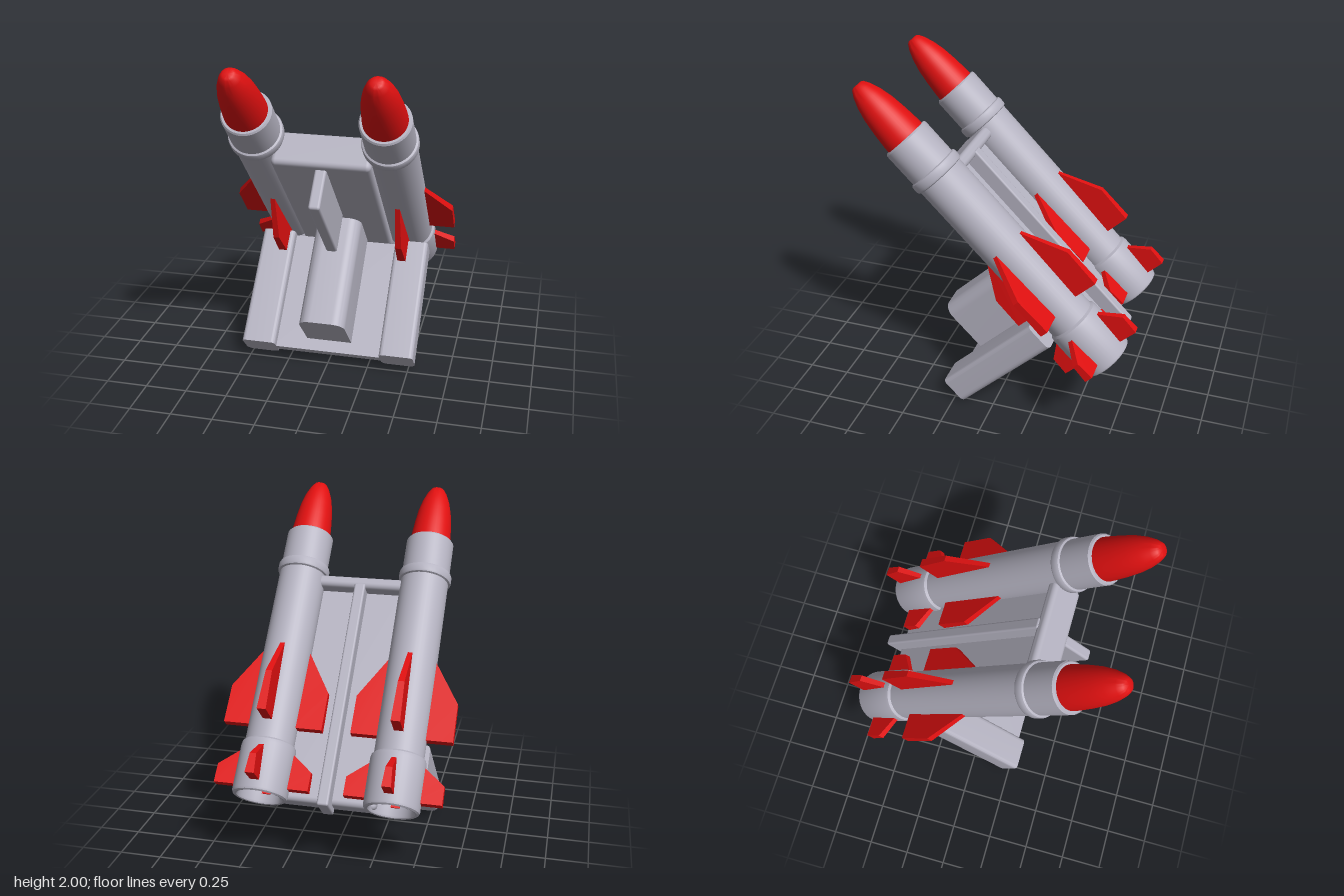
import * as THREE from 'three';
import { toCreasedNormals } from 'three/addons/utils/BufferGeometryUtils.js';
import { RoundedBoxGeometry } from 'three/addons/geometries/RoundedBoxGeometry.js';

const TILT = 0.771;      // lean of the whole launcher towards the front
const AXIS = -0.797;     // local z of the missile axes (local y runs along the missiles)
const SPACING = 0.387;   // missile distance from the centre line

function mesh(name, geometry, material) {
  const m = new THREE.Mesh(geometry, material);
  m.name = name;
  return m;
}

// Box given by its limits, with softened edges
function softBox(name, x, y0, y1, z0, z1, radius, material) {
  const m = mesh(name, new RoundedBoxGeometry(2 * x, y1 - y0, z1 - z0, 3, radius), material);
  m.position.set(0, (y0 + y1) / 2, (z0 + z1) / 2);
  return m;
}

// Bar with a rounded cross-section (top radius rt, bottom radius rb) running along z
function bar(name, x0, x1, y0, y1, z0, z1, rt, rb, material) {
  const s = new THREE.Shape();
  s.moveTo(x0 + rb, y0);
  s.lineTo(x1 - rb, y0);
  if (rb) s.absarc(x1 - rb, y0 + rb, rb, -Math.PI / 2, 0, false);
  s.lineTo(x1, y1 - rt);
  s.absarc(x1 - rt, y1 - rt, rt, 0, Math.PI / 2, false);
  s.lineTo(x0 + rt, y1);
  s.absarc(x0 + rt, y1 - rt, rt, Math.PI / 2, Math.PI, false);
  s.lineTo(x0, y0 + rb);
  if (rb) s.absarc(x0 + rb, y0 + rb, rb, Math.PI, Math.PI * 1.5, false);
  const g = new THREE.ExtrudeGeometry(s, { depth: z1 - z0, bevelEnabled: false, curveSegments: 6 });
  g.translate(0, 0, z0);
  return mesh(name, toCreasedNormals(g, 0.6), material);
}

function lathe(name, points, material) {
  const g = new THREE.LatheGeometry(points.map(([r, y]) => new THREE.Vector2(r, y)), 40);
  return mesh(name, toCreasedNormals(g, 0.6), material);
}

// Wedge fin: straight rear edge, swept front edge, thicker towards the rear
function finGeometry(rear, rootFront, tipFront, outer) {
  const inner = 0.12;
  const g = new THREE.BoxGeometry(1, 1, 1);
  const p = g.attributes.position;
  for (let i = 0; i < p.count; i++) {
    const front = p.getY(i) > 0, tip = p.getZ(i) > 0;
    const half = front ? (tip ? 0.019 : 0.013) : 0.027;
    p.setXYZ(i, Math.sign(p.getX(i)) * half,
      front ? (tip ? tipFront : rootFront) : rear, tip ? outer : inner);
  }
  g.computeVertexNormals();
  return g;
}

function createMissile(grey, red) {
  const missile = new THREE.Group();
  missile.name = 'missile';

  // Tube with hollow nozzle, thick tail section, collar ring and front sleeve
  missile.add(lathe('missileBody', [
    [0, 0.05], [0.13, 0.05], [0.13, -0.14], [0.137, -0.152], [0.148, -0.155],
    [0.159, -0.148], [0.163, -0.135], [0.163, 0.14], [0.159, 0.16], [0.146, 0.172],
    [0.146, 1.305], [0.157, 1.31], [0.161, 1.32], [0.161, 1.355], [0.157, 1.365],
    [0.146, 1.37], [0.146, 1.583], [0.138, 1.593], [0, 1.593],
  ], grey));

  missile.add(lathe('noseCone', [
    [0.125, 1.585], [0.123, 1.63], [0.115, 1.72], [0.103, 1.81], [0.085, 1.885],
    [0.062, 1.945], [0.042, 1.978], [0.03, 1.985], [0, 1.985],
  ], red));

  // Four large and four small fins around the tube
  const large = finGeometry(0.28, 0.81, 0.52, 0.3);
  const small = finGeometry(-0.095, 0.15, 0.02, 0.283);
  for (let i = 0; i < 4; i++) {
    const a = mesh('largeFin', large, red);
    const b = mesh('tailFin', small, red);
    a.rotation.y = b.rotation.y = i * Math.PI / 2;
    missile.add(a, b);
  }
  return missile;
}

export function createModel() {
  const grey = new THREE.MeshStandardMaterial({ color: 0xb4b2c0 });
  grey.name = 'light grey';
  const red = new THREE.MeshStandardMaterial({ color: 0xe01010 });
  red.name = 'red';

  const model = new THREE.Group();
  model.name = 'missileLauncher';
  const body = new THREE.Group();
  body.name = 'launcherBody';
  body.rotation.x = TILT;
  model.add(body);

  // Missiles and mounting rails, mirrored left and right
  for (const side of [1, -1]) {
    const missile = createMissile(grey, red);
    missile.position.set(side * SPACING, 0, AXIS);
    body.add(missile);
    const rail = bar('mountRail', -0.105, 0.105, 0.131, 0.315, -0.635, 0.123, 0.025, 0.04, grey);
    rail.position.x = side * 0.433;
    body.add(rail);
  }

  // Mounting panel and arched block
  const panel = mesh('mountPanel', new THREE.BoxGeometry(0.7, 0.062, 0.753), grey);
  panel.position.set(0, 0.221, -0.2535);
  body.add(panel);
  body.add(bar('archedBlock', -0.14, 0.14, 0.24, 0.595, -0.66, 0.05, 0.075, 0, grey));

  // Deck joining the missiles, with a crossbar, a long rib and a front blade
  body.add(softBox('deck', 0.29, -0.14, 1.295, -0.765, -0.64, 0.03, grey));
  body.add(softBox('crossbar', 0.29, 1.225, 1.3, -0.85, -0.64, 0.03, grey));
  body.add(softBox('rib', 0.034, -0.175, 1.25, -0.857, -0.66, 0.012, grey));
  body.add(softBox('blade', 0.034, 0.614, 1.254, -0.68, -0.4, 0.015, grey));

  return model;
}
